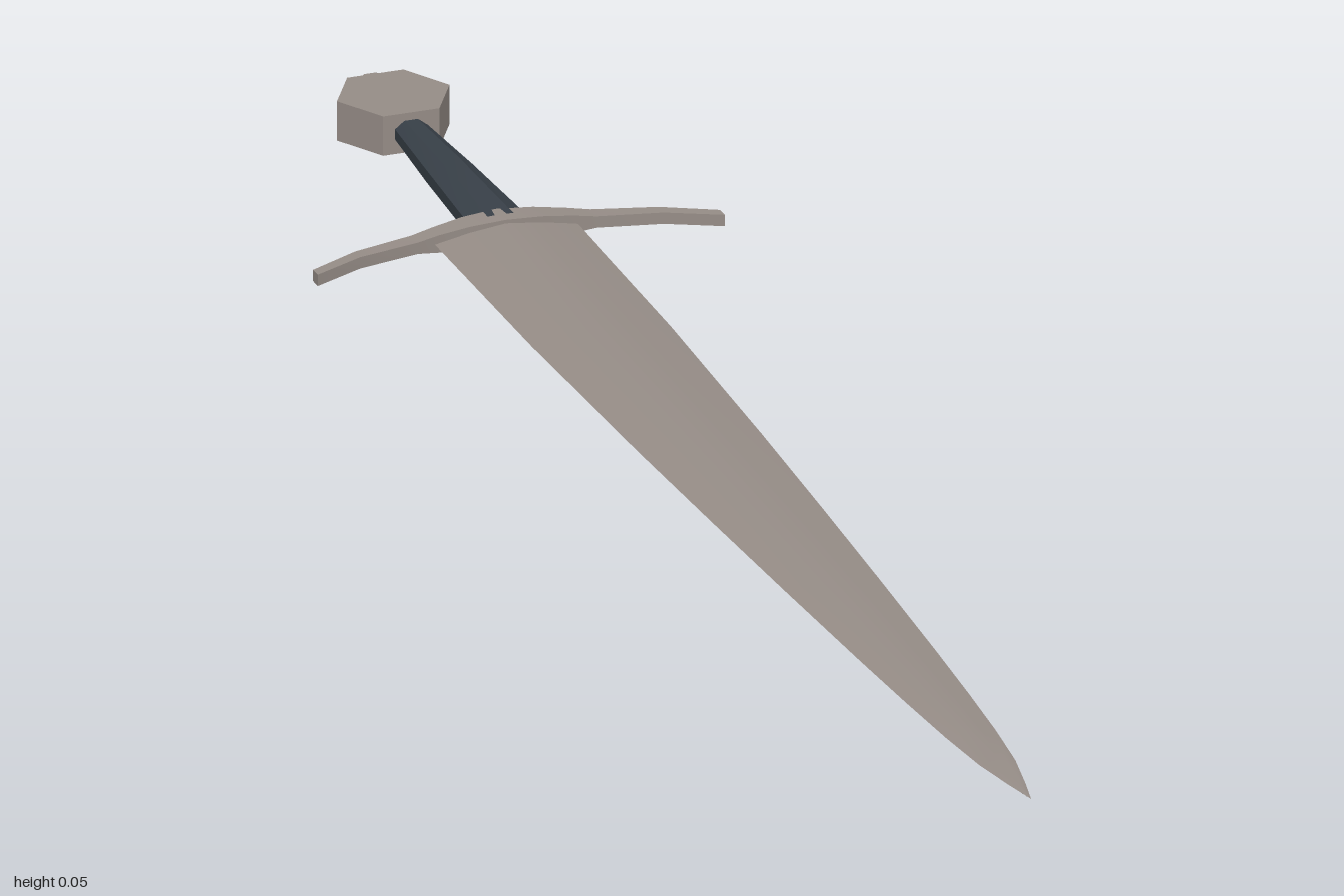
import * as THREE from 'three';
import { toCreasedNormals } from 'three/addons/utils/BufferGeometryUtils.js';

const MID = 0.023; // height of the sword's centre plane

// Skin closed rings of points, with flat end caps
function loft(rings, crease) {
  const n = rings[0].length;
  const index = [];
  for (let i = 0; i < rings.length - 1; i++) {
    for (let j = 0; j < n; j++) {
      const k = (j + 1) % n;
      const a = i * n + j, b = i * n + k, c = b + n, d = a + n;
      index.push(a, b, c, a, c, d);
    }
  }
  const last = (rings.length - 1) * n;
  for (let j = 1; j < n - 1; j++) {
    index.push(0, j + 1, j, last, last + j, last + j + 1);
  }
  const geometry = new THREE.BufferGeometry();
  geometry.setAttribute('position', new THREE.Float32BufferAttribute(rings.flat(2), 3));
  geometry.setIndex(index);
  return toCreasedNormals(geometry, crease);
}

export function createModel() {
  const steel = new THREE.MeshStandardMaterial({ color: 0x968d87 });
  const leather = new THREE.MeshStandardMaterial({ color: 0x384048 });
  steel.name = 'steel';
  leather.name = 'dark leather';

  const sword = new THREE.Group();
  sword.name = 'sword';
  const add = (name, geometry, material) => {
    const mesh = new THREE.Mesh(geometry, material);
    mesh.name = name;
    sword.add(mesh);
    return mesh;
  };

  // Blade: shallow lens section, [z, half width, half thickness]
  const bladeSections = [
    [-0.6, 0.08, 0.012], [-0.3, 0.078, 0.011], [0, 0.069, 0.009], [0.2, 0.061, 0.007],
    [0.4, 0.052, 0.006], [0.6, 0.042, 0.005], [0.72, 0.035, 0.004], [0.82, 0.028, 0.0035],
    [0.9, 0.02, 0.003], [0.96, 0.009, 0.002], [1, 0.0004, 0.0003],
  ];
  const lens = [[1, 0], [0.5, 0.6], [0, 1], [-0.5, 0.6], [-1, 0], [-0.5, -0.6], [0, -1], [0.5, -0.6]];
  add('blade', loft(bladeSections.map(([z, w, h]) =>
    lens.map(([x, y]) => [x * w, MID + y * h, z])), 0.5), steel);

  // Crossguard: curved bar, [x, back z, front z, half height], mirrored
  const half = [
    [0, -0.62, -0.589, 0.016], [0.04, -0.616, -0.589, 0.014], [0.075, -0.61, -0.588, 0.01],
    [0.1, -0.605, -0.585, 0.0065], [0.17, -0.586, -0.57, 0.0065], [0.228, -0.556, -0.542, 0.0065],
  ];
  const guardSections = [
    ...half.slice(1).reverse().map(([x, ...rest]) => [-x, ...rest]), ...half,
  ];
  add('crossguard', loft(guardSections.map(([x, back, front, h]) => [
    [x, MID + h, back], [x, MID + h, front], [x, MID - h, front], [x, MID - h, back],
  ]), 0.45), steel);

  // Grip: eight-sided, widening towards the guard
  const gripSections = [[-0.885, 0.018, 0.014], [-0.76, 0.026, 0.017], [-0.605, 0.034, 0.016]];
  add('grip', loft(gripSections.map(([z, w, h]) =>
    Array.from({ length: 8 }, (_, i) => {
      const a = (i + 0.5) * Math.PI / 4;
      return [1.06 * w * Math.cos(a), MID + 1.06 * h * Math.sin(a), z];
    })), 0.2), leather);

  // Pommel: flat hexagonal block
  const hexagon = toCreasedNormals(new THREE.CylinderGeometry(0.063, 0.063, 0.045, 6), 0.2);
  hexagon.rotateY(Math.PI / 2);
  add('pommel', hexagon, steel).position.set(0, MID, -0.93);

  // Rivet at the end of the tang
  const rivet = toCreasedNormals(new THREE.CylinderGeometry(0.018, 0.018, 0.03, 8), 0.2);
  rivet.rotateX(Math.PI / 2);
  rivet.rotateZ(Math.PI / 8);
  add('tangRivet', rivet, steel).position.set(0, MID, -0.985);

  return sword;
}
